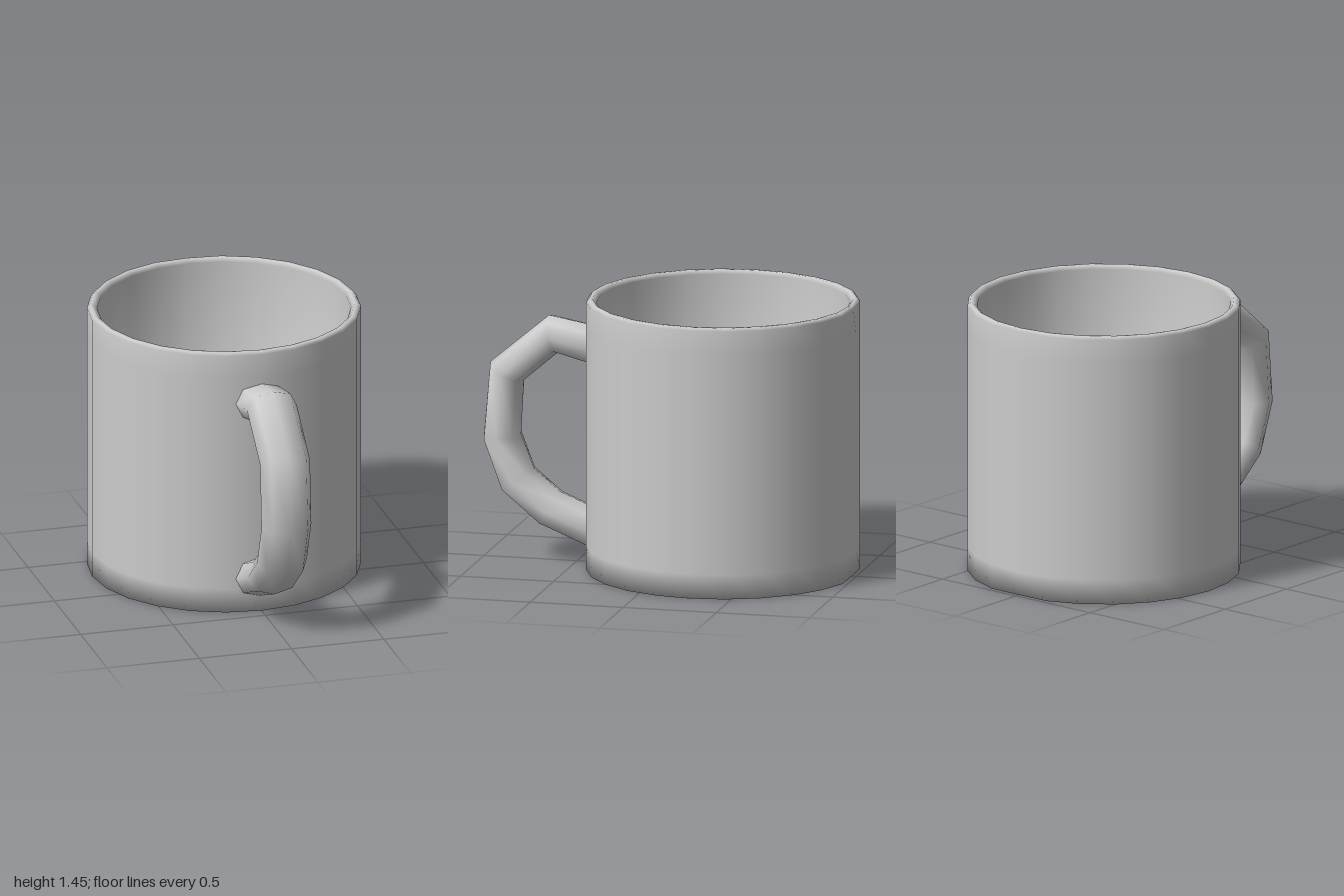
import * as THREE from 'three';

const material = new THREE.MeshStandardMaterial({ color: 0xcccccc });
const CENTRE_Z = -0.285;

// Hollow cup: one closed profile turned round, with a slightly flattened back facet
function makeCup() {
  const sides = 24;
  const profile = [
    [0, 0], [0.714, 0], [0.714, 0.13], [0.714, 1.3], [0.714, 1.43], // base and outer wall
    [0.7, 1.445], [0.68, 1.445], [0.662, 1.425],                    // rim
    [0.66, 0.07], [0, 0.07],                                        // inner wall and floor
  ].map(([r, y]) => new THREE.Vector2(r, y));
  const geometry = new THREE.LatheGeometry(profile, sides);

  // Pull the rearmost corner in at the foot and the rim
  const pos = geometry.attributes.position;
  const backColumn = (sides / 2) * profile.length;
  [[1, 0.966], [4, 0.98], [5, 0.99]].forEach(([row, scale]) => {
    const i = backColumn + row;
    pos.setZ(i, pos.getZ(i) * scale);
  });

  const cup = new THREE.Mesh(geometry, material);
  cup.name = 'cup';
  cup.position.z = CENTRE_Z;
  return cup;
}

// Handle: oval rings strung between an outer and an inner curve, as z, y
function makeHandle() {
  const stations = [
    { outer: [0.4, 1.262], inner: [0.4, 1.055] },
    { outer: [0.65, 1.305], inner: [0.6, 1.11] },
    { outer: [0.965, 1.04], inner: [0.785, 0.95] },
    { outer: [1.0, 0.64], inner: [0.8, 0.66] },
    { outer: [0.9, 0.365], inner: [0.73, 0.48] },
    { outer: [0.69, 0.19], inner: [0.59, 0.365] },
    { outer: [0.4, 0.072], inner: [0.4, 0.287] },
  ];
  const sides = 8;
  const halfWidth = 0.135;
  const positions = [];
  const indices = [];

  stations.forEach(({ outer, inner }, i) => {
    for (let k = 0; k < sides; k++) {
      const angle = (k / sides) * Math.PI * 2;
      const t = (1 + Math.sin(angle) * (k % 2 ? 1.08 : 1)) / 2; // 0 inner, 1 outer
      positions.push(
        halfWidth * Math.cos(angle),
        THREE.MathUtils.lerp(inner[1], outer[1], t),
        THREE.MathUtils.lerp(inner[0], outer[0], t),
      );
      if (i < stations.length - 1) {
        const a = i * sides + k;
        const b = i * sides + ((k + 1) % sides);
        indices.push(a, b, a + sides, b, b + sides, a + sides);
      }
    }
  });

  const geometry = new THREE.BufferGeometry();
  geometry.setAttribute('position', new THREE.Float32BufferAttribute(positions, 3));
  geometry.setIndex(indices);
  geometry.computeVertexNormals();
  const handle = new THREE.Mesh(geometry, material);
  handle.name = 'handle';
  return handle;
}

export function createModel() {
  const mug = new THREE.Group();
  mug.name = 'mug';
  mug.add(makeCup(), makeHandle());
  return mug;
}
